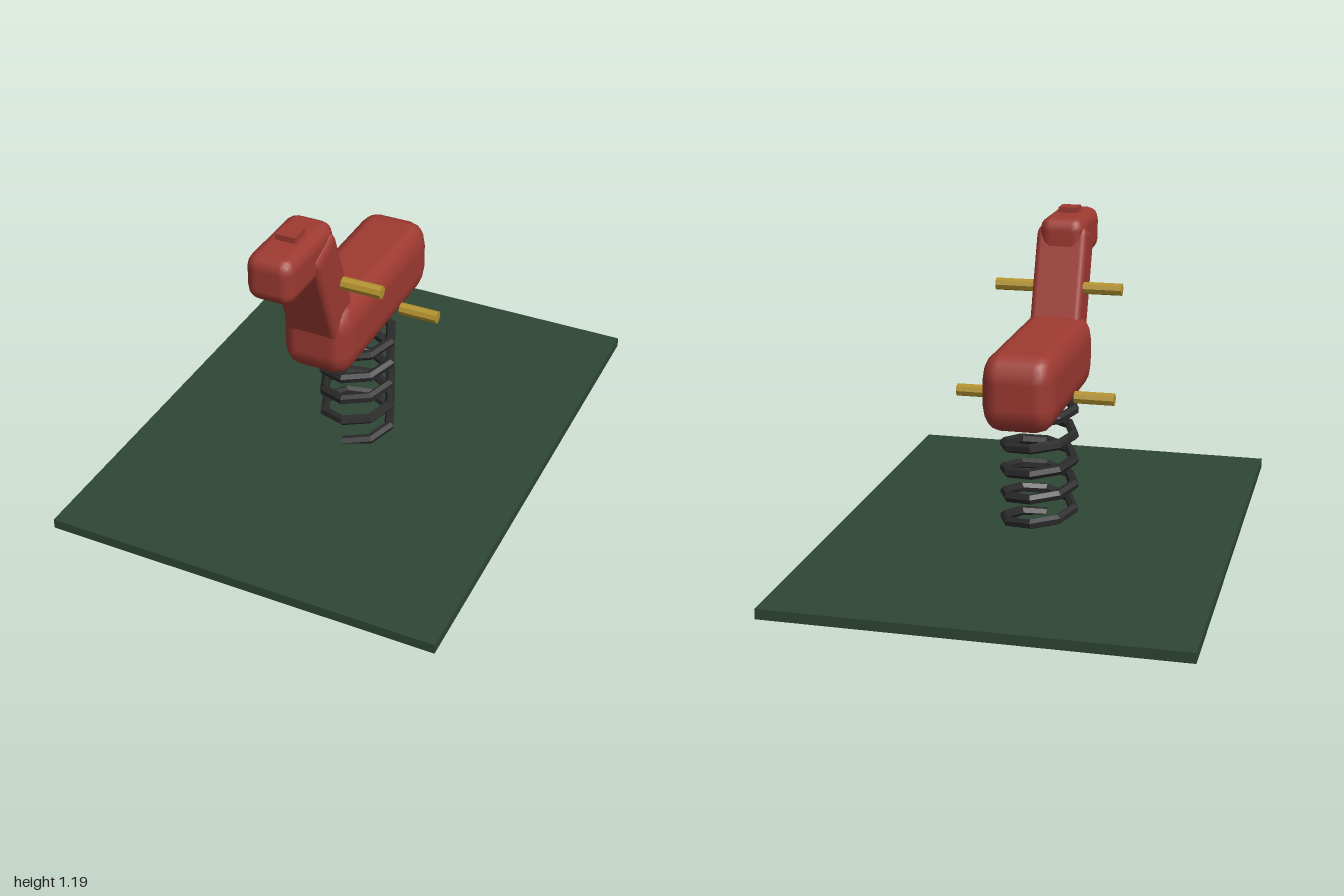
import * as THREE from 'three';
import { RoundedBoxGeometry } from 'three/addons/geometries/RoundedBoxGeometry.js';

const material = (name, color) => {
  const m = new THREE.MeshStandardMaterial({ color });
  m.name = name;
  return m;
};

// Box with a different bevel size along each axis
function softBox(w, h, d, rx, ry, rz) {
  const g = new RoundedBoxGeometry(w / rx, h / ry, d / rz, 2, 1);
  g.scale(rx, ry, rz);
  return g;
}

// Coil that climbs anticlockwise from the front
class Helix extends THREE.Curve {
  constructor(radius, y0, y1, turns) {
    super();
    Object.assign(this, { radius, y0, y1, turns });
  }
  getPoint(t, target = new THREE.Vector3()) {
    const a = t * this.turns * Math.PI * 2;
    return target.set(
      Math.sin(a) * this.radius,
      this.y0 + (this.y1 - this.y0) * t,
      Math.cos(a) * this.radius
    );
  }
}

export function createModel() {
  const group = new THREE.Group();
  group.name = 'springRider';

  const red = material('red paint', 0x9e3a32);
  const green = material('green mat', 0x2e4636);
  const gold = material('yellow grip', 0xb3922e);
  const black = material('black steel', 0x2a2a2a);
  const grey = material('grey concrete', 0xa3a3a3);

  const add = (name, geometry, mat, x, y, z) => {
    const mesh = new THREE.Mesh(geometry, mat);
    mesh.name = name;
    mesh.position.set(x, y, z);
    group.add(mesh);
    return mesh;
  };

  // Ground mat and the footing beneath it
  add('groundMat', new THREE.BoxGeometry(1.5, 0.038, 2), green, 0, 0.026, 0);
  add('footing', new THREE.BoxGeometry(0.63, 0.02, 0.63), grey, 0, 0.01, 0);

  // Coil spring, eight straight lengths per turn
  const coil = new THREE.TubeGeometry(new Helix(0.135, 0.047, 0.54, 5), 40, 0.02, 6, false);
  const spring = add('spring', coil.toNonIndexed(), black, 0, 0, 0);
  spring.geometry.computeVertexNormals();

  // Animal body, neck, head and tuft
  add('body', softBox(0.27, 0.295, 0.775, 0.07, 0.1, 0.09), red, 0, 0.658, 0.002);
  const neck = add('neck', softBox(0.2, 0.45, 0.16, 0.025, 0.04, 0.025), red, 0, 0.905, 0.38);
  neck.rotation.x = 0.36;
  add('head', softBox(0.175, 0.174, 0.346, 0.045, 0.05, 0.045), red, 0, 1.084, 0.527);
  add('tuft', new THREE.BoxGeometry(0.074, 0.06, 0.074), red, 0, 1.163, 0.527);

  // Horizontal bars with eight flat sides
  const bar = (name, length, x, y, z) => {
    const g = new THREE.CylinderGeometry(0.024, 0.024, length, 8).toNonIndexed();
    g.computeVertexNormals();
    add(name, g, gold, x, y, z).rotation.z = Math.PI / 2;
  };
  bar('handlebar', 0.5, 0, 0.908, 0.335);
  bar('leftFootPeg', 0.15, 0.225, 0.583, -0.062);
  bar('rightFootPeg', 0.15, -0.225, 0.583, -0.062);

  return group;
}
